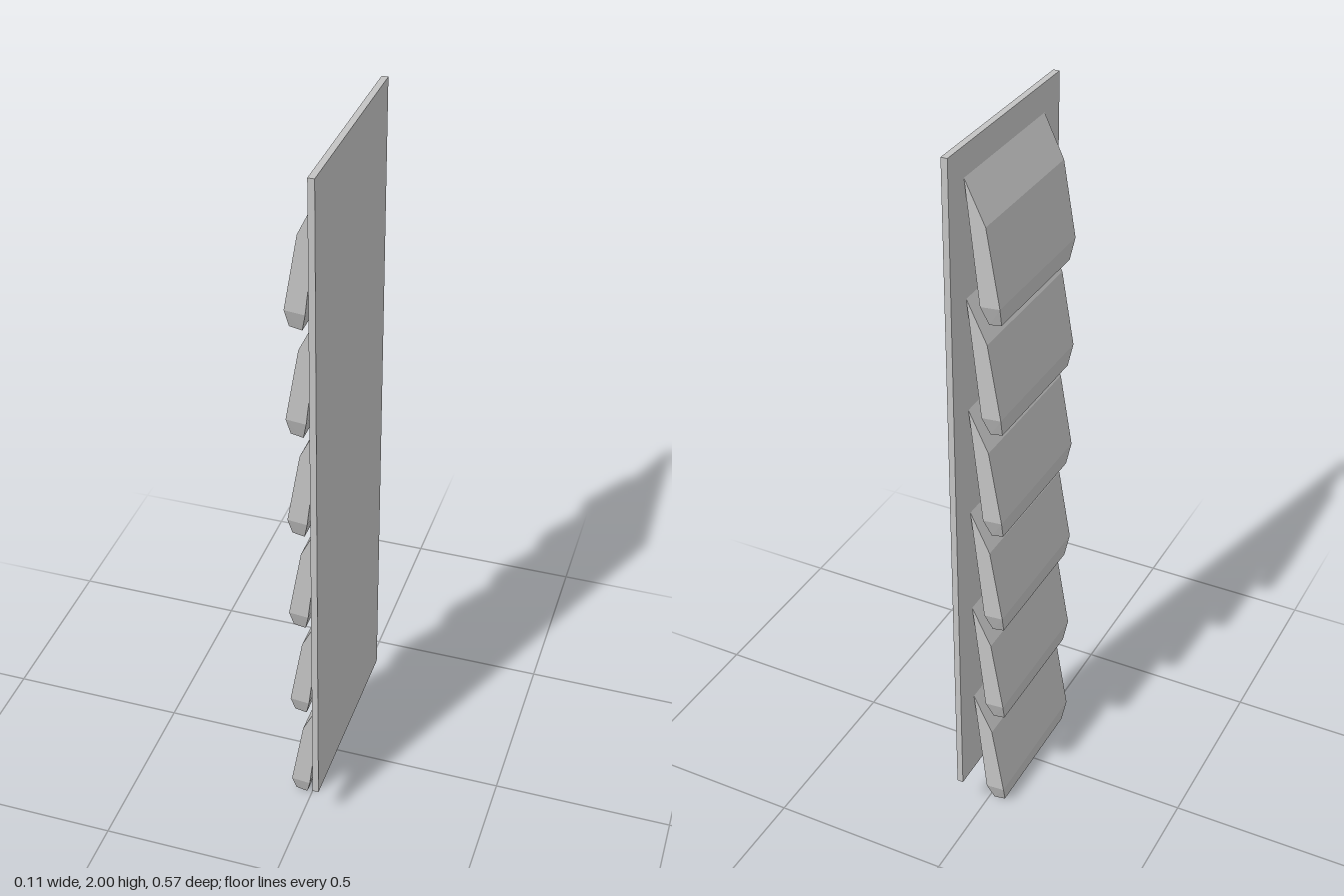
import * as THREE from 'three';

const grey = new THREE.MeshStandardMaterial({ color: 0xc4c4c4 });
grey.name = 'light grey';

const HALF_WIDTH = 0.208;
const TIP_HALF_WIDTH = 0.188;
const SLAT_COUNT = 6;
const PITCH = 0.3092;

// Prism of an x-y profile, centred on z
function prism(points) {
  const shape = new THREE.Shape(points.map(([x, y]) => new THREE.Vector2(x, y)));
  const geometry = new THREE.ExtrudeGeometry(shape, { depth: 2 * HALF_WIDTH, bevelEnabled: false });
  geometry.translate(0, 0, -HALF_WIDTH);
  return geometry;
}

// Narrow the lowest corners so the ends slope inwards
function taperTip(geometry) {
  const p = geometry.attributes.position;
  for (let i = 0; i < p.count; i++) {
    if (p.getY(i) < 0.03) p.setZ(i, Math.sign(p.getZ(i)) * TIP_HALF_WIDTH);
  }
  geometry.computeVertexNormals();
  return geometry;
}

function mesh(name, geometry) {
  const m = new THREE.Mesh(geometry, grey);
  m.name = name;
  return m;
}

export function createModel() {
  const model = new THREE.Group();
  model.name = 'slattedPanel';

  // Flat backing plate
  const plate = mesh('backPlate', new THREE.BoxGeometry(0.017, 1.883, 0.573));
  plate.position.set(0.0445, 1.0585, 0);
  model.add(plate);

  // Overlapping slats, each a leaning body with a tapered lower lip
  const outer = [-0.053, 0.06], inner = [0, 0.055];
  const body = prism([[0.036, 0.377], [-0.018, 0.265], outer, inner]);
  const lip = taperTip(prism([outer, [-0.047, 0.006], [-0.014, 0], inner]));
  for (let i = 0; i < SLAT_COUNT; i++) {
    const slat = new THREE.Group();
    slat.name = `slat${i + 1}`;
    slat.add(mesh('slatBody', body), mesh('slatLip', lip));
    slat.position.set(0, i * PITCH, -0.004);
    model.add(slat);
  }
  return model;
}
